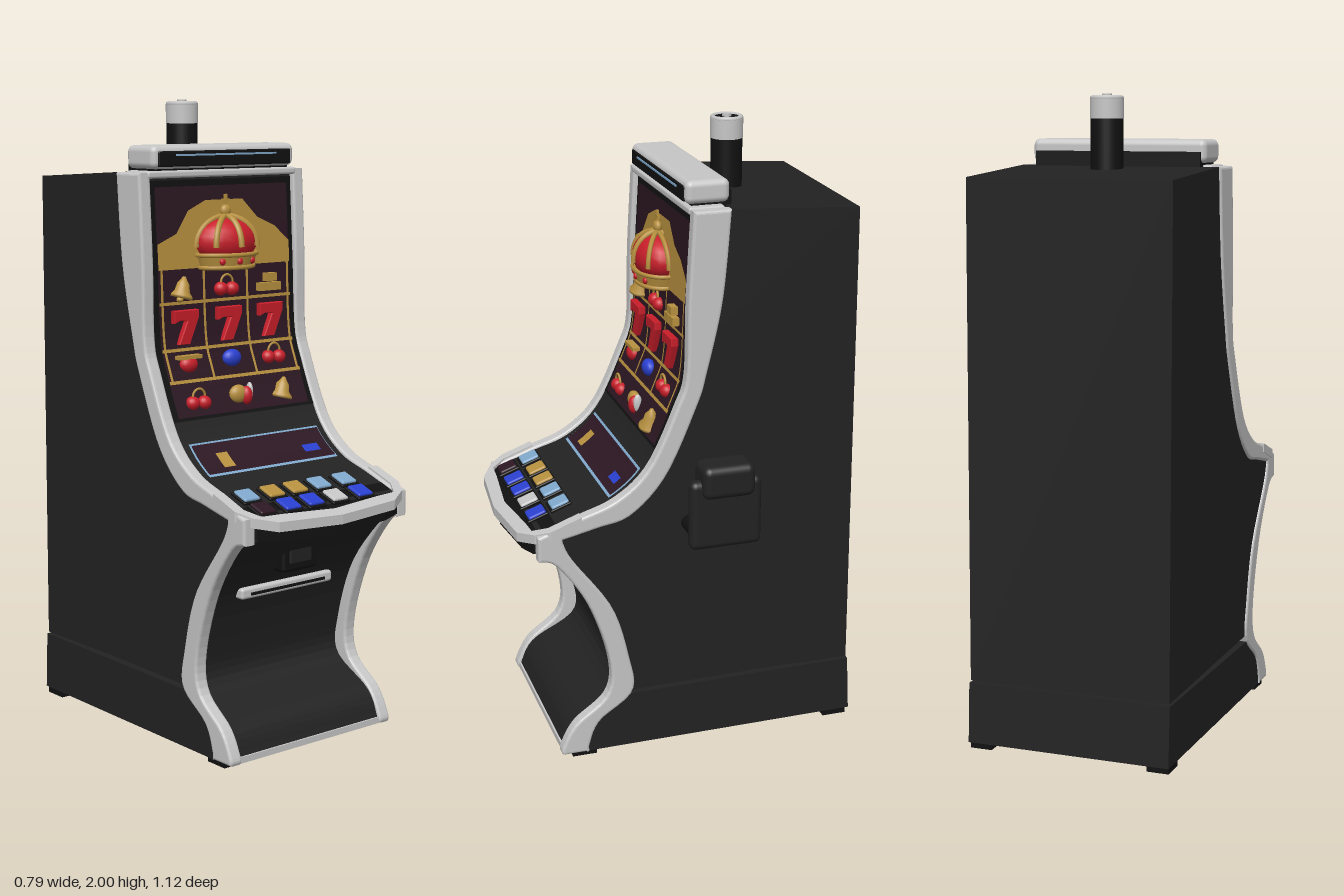
import * as THREE from 'three';
import { RoundedBoxGeometry } from 'three/addons/geometries/RoundedBoxGeometry.js';

const material = (name, color) => Object.assign(new THREE.MeshStandardMaterial({ color }), { name });

// side profiles as [z, y]: outer and inner edge of the trim, above and below the deck
const UPPER_OUT = [[0, 1.78], [0.015, 1.5], [0.02, 1.27], [0.05, 1.17], [0.14, 0.98], [0.245, 0.885], [0.37, 0.838], [0.5, 0.79]];
const UPPER_IN = [[-0.12, 1.78], [-0.095, 1.5], [-0.045, 1.27], [-0.015, 1.17], [0.085, 0.95], [0.2, 0.83], [0.31, 0.8], [0.42, 0.775]];
const LOWER_OUT = [[0.5, 0.71], [0.44, 0.685], [0.34, 0.535], [0.275, 0.335], [0.285, 0.21], [0.39, 0.12], [0.435, 0.04], [0.435, 0.015]];
const LOWER_IN = [[0.42, 0.765], [0.39, 0.7], [0.265, 0.52], [0.21, 0.335], [0.2, 0.21], [0.31, 0.12], [0.345, 0.04], [0.345, 0.015]];
const UPPER_T = Array(8).fill(0.15);
const LOWER_T = [0.1, 0.15, 0.5, 0.6, 0.6, 0.15, 0.12, 0.12];

const smooth = (pts) => new THREE.SplineCurve(pts.map(([z, y]) => new THREE.Vector2(z, y))).getPoints(36);
const blend = (a, b, t) => a.map((p, i) => p.map((v, k) => v + (b[i][k] - v) * t[i]));
const poly = (pts) => new THREE.Shape(pts.map((p) => (p.isVector2 ? p : new THREE.Vector2(p[0], p[1]))));

const fascia = smooth(blend(UPPER_OUT, UPPER_IN, UPPER_T));
// looks up the fascia curve: depth at a height, or height at a depth
function along(key, value, want) {
  for (let i = 1; i < fascia.length; i++) {
    const a = fascia[i - 1], b = fascia[i];
    if ((a[key] - value) * (b[key] - value) <= 0 && a[key] !== b[key])
      return a[want] + (b[want] - a[want]) * (value - a[key]) / (b[key] - a[key]);
  }
  return fascia[fascia.length - 1][want];
}
const zAt = (y) => along('y', y, 'x');
const yAt = (z) => along('x', z, 'y');

export function createModel() {
  const root = new THREE.Group();
  root.name = 'slotMachine';
  const black = material('cabinet black', 0x222222);
  const gloss = material('gloss black', 0x111111);
  const silver = material('silver', 0xc6c6c6);
  const gold = material('gold', 0xb8913f);
  const red = material('red', 0xc81e2a);
  const plum = material('dark plum', 0x2c1722);
  const blue = material('blue', 0x2a40d0);
  const sky = material('light blue', 0x7fa8cc);

  function add(name, geo, mat, x = 0, y = 0, z = 0, parent = root) {
    const m = new THREE.Mesh(geo, mat);
    m.name = name;
    m.position.set(x, y, z);
    parent.add(m);
    return m;
  }
  const box = (name, mat, x0, x1, y0, y1, z0, z1, r = 0) => add(name,
    r ? new RoundedBoxGeometry(x1 - x0, y1 - y0, z1 - z0, 3, r) : new THREE.BoxGeometry(x1 - x0, y1 - y0, z1 - z0),
    mat, (x0 + x1) / 2, (y0 + y1) / 2, (z0 + z1) / 2);
  // extrudes a side profile across the width
  function slab(name, pts, mat, x0, x1, bevel = 0) {
    const geo = new THREE.ExtrudeGeometry(poly(pts), {
      depth: x1 - x0 - 2 * bevel, bevelEnabled: bevel > 0, bevelSize: bevel, bevelThickness: bevel,
      bevelOffset: -bevel, bevelSegments: 3,
    });
    geo.rotateY(-Math.PI / 2);
    return add(name, geo, mat, x1 - bevel, 0, 0);
  }
  // drapes flat geometry over the curved fascia
  function drape(name, geo, mat, off) {
    const p = geo.attributes.position;
    for (let i = 0; i < p.count; i++) p.setZ(i, zAt(p.getY(i)) + off);
    geo.computeVertexNormals();
    return add(name, geo, mat);
  }
  const sheet = (name, mat, x0, x1, y0, y1, off) => drape(name,
    new THREE.PlaneGeometry(x1 - x0, y1 - y0, 1, 20).translate((x0 + x1) / 2, (y0 + y1) / 2, 0), mat, off);

  // cabinet, base and feet
  const upIn = smooth(UPPER_IN), lowIn = smooth(LOWER_IN);
  slab('cabinet', [...upIn, ...lowIn.filter((p) => p.y > 0.215), [-0.545, 0.215], [-0.535, 1.755]], black, -0.385, 0.265);
  slab('base', [...lowIn.filter((p) => p.y < 0.21), [-0.56, 0.02], [-0.55, 0.208]], black, -0.388, 0.268);
  for (const x of [-0.35, 0.23]) for (const z of [-0.51, 0.36])
    box('foot', gloss, x - 0.035, x + 0.035, 0, 0.03, z - 0.04, z + 0.04);

  // recessed front and silver side trims
  const lowFascia = smooth(blend(LOWER_OUT, LOWER_IN, LOWER_T));
  slab('frontFascia', [...fascia, ...lowFascia, [-0.2, 0.015], [-0.2, 1.774]], black, -0.36, 0.245);
  const trim = [...smooth(UPPER_OUT), ...smooth(LOWER_OUT), ...[...lowIn].reverse(), ...[...upIn].reverse()];
  slab('rightTrim', trim, silver, -0.392, -0.347, 0.009);
  slab('leftTrim', trim, silver, 0.23, 0.275, 0.009);
  box('topTrim', silver, -0.36, 0.24, 1.762, 1.785, -0.11, 0.005, 0.008);
  box('bottomTrim', silver, -0.36, 0.24, 0.015, 0.035, 0.39, 0.432);

  // bowed deck nose and its lip, sloped with the deck
  function bow(inset) {
    const l = -0.395 + inset, r = 0.278 - inset, f = 0.565 - inset;
    return [[l, 0.36], [l, 0.46], [l + 0.03, 0.505], [l + 0.1, f - 0.02], [(l + r) / 2, f],
      [r - 0.1, f - 0.02], [r - 0.03, 0.505], [r, 0.46], [r, 0.36]];
  }
  function sloped(name, pts, mat, top, thick) {
    const geo = new THREE.ExtrudeGeometry(poly(pts), { depth: thick, bevelEnabled: false });
    geo.rotateX(Math.PI / 2);
    const p = geo.attributes.position;
    for (let i = 0; i < p.count; i++) p.setY(i, p.getY(i) + top - (p.getZ(i) - 0.5) * 0.37);
    geo.computeVertexNormals();
    add(name, geo, mat);
  }
  sloped('deckLip', [...bow(0), ...bow(0.036).reverse()], silver, 0.795, 0.03);
  sloped('deckNose', bow(0.02).map(([x, z]) => [x, Math.max(z, 0.43)]), gloss, 0.783, 0.06);

  // main screen, reel frames and painted hill
  sheet('screenBezel', gloss, -0.345, 0.23, 1.02, 1.755, 0.002);
  sheet('screen', plum, -0.325, 0.21, 1.03, 1.735, 0.005);
  drape('goldHill', new THREE.ShapeGeometry(poly([[-0.325, 1.49], [0.21, 1.49], [0.21, 1.55], [0.15, 1.6], [0.08, 1.63],
    [0.02, 1.69], [-0.13, 1.69], [-0.2, 1.66], [-0.25, 1.59], [-0.325, 1.56]])), gold, 0.008);
  for (const y of [1.48, 1.37, 1.225, 1.13]) sheet('reelBar', gold, -0.325, 0.21, y, y + 0.01, 0.008);
  for (const x of [-0.318, -0.152, 0.024, 0.195]) sheet('reelDivider', gold, x, x + 0.009, 1.13, 1.48, 0.008);

  // raised reel symbols
  const ball = new THREE.SphereGeometry(1, 18, 12);
  const bellGeo = new THREE.LatheGeometry([[0.001, -0.03], [0.038, -0.03], [0.038, -0.022], [0.026, -0.008], [0.021, 0.015],
    [0.011, 0.027], [0.005, 0.038], [0.001, 0.038]].map(([x, y]) => new THREE.Vector2(x, y)), 20);
  const boltGeo = new THREE.ExtrudeGeometry(poly([[-0.045, 0.052], [-0.045, 0.016], [-0.025, 0.024], [0.006, 0.02],
    [-0.027, -0.052], [0.012, -0.052], [0.047, 0.03], [0.047, 0.052]]), { depth: 0.015, bevelSize: 0.002, bevelThickness: 0.004, bevelSegments: 1 });
  const blob = (g, name, mat, x, y, z, sx, sy, sz) => add(name, ball, mat, x, y, z, g).scale.set(sx, sy, sz);
  const draw = {
    bell(g) { add('bell', bellGeo, gold, 0, 0, 0.008, g).rotation.z = -0.25; blob(g, 'clapper', gold, -0.01, -0.034, 0.008, 0.012, 0.009, 0.012); },
    cherries(g) {
      blob(g, 'cherry', red, -0.022, -0.01, 0.01, 0.024, 0.022, 0.022);
      blob(g, 'cherry', red, 0.024, -0.012, 0.01, 0.024, 0.022, 0.022);
      add('stem', new THREE.TorusGeometry(0.024, 0.004, 6, 12, Math.PI), gold, 0, 0.01, 0.014, g);
    },
    bars(g) {
      for (const [x, y] of [[-0.022, -0.014], [0.024, -0.014], [0.006, 0.016]])
        add('goldBar', new THREE.BoxGeometry(0.042, 0.026, 0.03), gold, x, y, 0.012, g);
    },
    bolt(g) { add('angledSymbol', boltGeo, red, 0, 0, 0.008, g); },
    bowl(g) { blob(g, 'fruit', red, 0, -0.006, 0.008, 0.034, 0.026, 0.022); add('bowlRim', new THREE.BoxGeometry(0.09, 0.012, 0.025), gold, 0, 0.018, 0.01, g); },
    plum(g) { blob(g, 'plumFruit', blue, 0, 0, 0.008, 0.036, 0.028, 0.022); },
    slice(g) {
      blob(g, 'lemon', gold, -0.012, 0, 0.008, 0.034, 0.03, 0.02);
      blob(g, 'melonSlice', red, 0.016, -0.006, 0.016, 0.02, 0.03, 0.02);
      blob(g, 'melonRind', silver, 0.034, 0.004, 0.01, 0.01, 0.03, 0.014);
    },
  };
  const reels = [[1.42, 'bell', 'cherries', 'bars'], [1.3, 'bolt', 'bolt', 'bolt'],
    [1.19, 'bowl', 'plum', 'cherries'], [1.08, 'cherries', 'slice', 'bell']];
  for (const [y, ...row] of reels) row.forEach((kind, i) => {
    const g = new THREE.Group();
    g.name = kind + 'Symbol';
    g.position.set([-0.235, -0.06, 0.112][i], y, zAt(y));
    draw[kind](g);
    root.add(g);
  });

  // crown in high relief
  const crown = new THREE.Group();
  crown.name = 'crown';
  crown.position.set(-0.06, 1.5, 0.01);
  crown.scale.z = 0.68;
  root.add(crown);
  blob(crown, 'crownLining', red, 0, 0.06, 0, 0.116, 0.075, 0.112);
  add('crownBand', new THREE.CylinderGeometry(0.112, 0.1, 0.04, 28), gold, 0, 0, 0, crown);
  for (const y of [-0.02, 0.02]) add('crownRim', new THREE.TorusGeometry(0.107 + y * 0.3, 0.007, 8, 28), gold, 0, y, 0, crown).rotation.x = Math.PI / 2;
  for (let i = 0; i < 4; i++) {
    const arch = add('crownArch', new THREE.TorusGeometry(0.118, 0.011, 8, 24, Math.PI), gold, 0, 0.045, 0, crown);
    arch.scale.y = 0.8;
    arch.rotation.y = i * Math.PI / 4;
  }
  for (const x of [-0.06, 0, 0.06]) blob(crown, 'crownJewel', red, x, 0, Math.sqrt(0.0112 - x * x), 0.011, 0.011, 0.011);
  blob(crown, 'crownOrb', gold, 0, 0.155, 0, 0.02, 0.02, 0.02);
  add('crownFinial', new THREE.BoxGeometry(0.01, 0.045, 0.012), gold, 0, 0.185, 0, crown);
  add('crownCrossbar', new THREE.BoxGeometry(0.03, 0.01, 0.012), gold, 0, 0.188, 0, crown);

  // small lower display
  sheet('displayBorder', sky, -0.322, 0.206, 0.87, 0.956, 0.004);
  sheet('display', plum, -0.317, 0.201, 0.876, 0.952, 0.008);
  sheet('displayIcon', gold, -0.245, -0.2, 0.888, 0.925, 0.012);
  sheet('displayBar', blue, 0.095, 0.16, 0.894, 0.912, 0.012);

  // deck buttons
  const cap = new RoundedBoxGeometry(0.06, 0.018, 0.06, 2, 0.006);
  const frame = new RoundedBoxGeometry(0.072, 0.01, 0.072, 2, 0.004);
  const rows = [[0.39, sky, gold, gold, sky, sky], [0.465, plum, blue, blue, silver, blue]];
  for (const [z, ...mats] of rows) mats.forEach((mat, i) => {
    const x = [-0.29, -0.19, -0.097, 0, 0.105][i];
    add('buttonFrame', frame, gloss, x, yAt(z) + 0.004, z).rotation.x = 0.35;
    add('button', cap, mat, x, yAt(z) + 0.008, z).rotation.x = 0.35;
  });

  // note acceptor and payout slot on the lower door
  box('noteAcceptor', gloss, -0.13, 0.01, 0.56, 0.655, 0.27, 0.375, 0.012);
  box('noteMouth', black, -0.105, -0.015, 0.585, 0.635, 0.35, 0.38, 0.006);
  box('payoutSlot', silver, -0.245, 0.13, 0.482, 0.518, 0.22, 0.315, 0.01);
  box('payoutGap', gloss, -0.21, 0.095, 0.493, 0.502, 0.3, 0.318);

  // topper
  box('topperCap', silver, -0.345, 0.228, 1.79, 1.862, -0.13, 0.01, 0.02);
  box('topperPanel', gloss, -0.325, 0.208, 1.797, 1.845, 0, 0.014, 0.005);
  box('topperLight', sky, -0.26, 0.145, 1.829, 1.835, 0.01, 0.017);
  box('topperBack', gloss, -0.33, 0.213, 1.765, 1.825, -0.137, -0.01);

  // signal lamp
  const tube = (name, mat, r, y0, y1) => add(name, new THREE.CylinderGeometry(r, r, y1 - y0, 28), mat, -0.057, (y0 + y1) / 2, -0.215);
  tube('lampPole', gloss, 0.05, 1.75, 1.925);
  tube('lampShade', silver, 0.052, 1.925, 1.985);
  add('lampRim', new THREE.TorusGeometry(0.044, 0.008, 8, 28), silver, -0.057, 1.987, -0.215).rotation.x = Math.PI / 2;
  tube('lampTop', gloss, 0.04, 1.98, 1.99);
  tube('lampTip', silver, 0.015, 1.985, 2.0);

  // side lever
  box('leverPlate', black, 0.318, 0.366, 0.72, 0.95, -0.2, 0.035, 0.022);
  box('leverHead', black, 0.28, 0.392, 0.895, 1.003, -0.17, 0, 0.025);
  for (const [y, z, r] of [[0.93, -0.08, 0.035], [0.78, 0.01, 0.025], [0.78, -0.1, 0.025]])
    add('leverPivot', new THREE.CylinderGeometry(r, r, 0.075, 16), gloss, 0.295, y, z).rotation.z = Math.PI / 2;

  return root;
}
